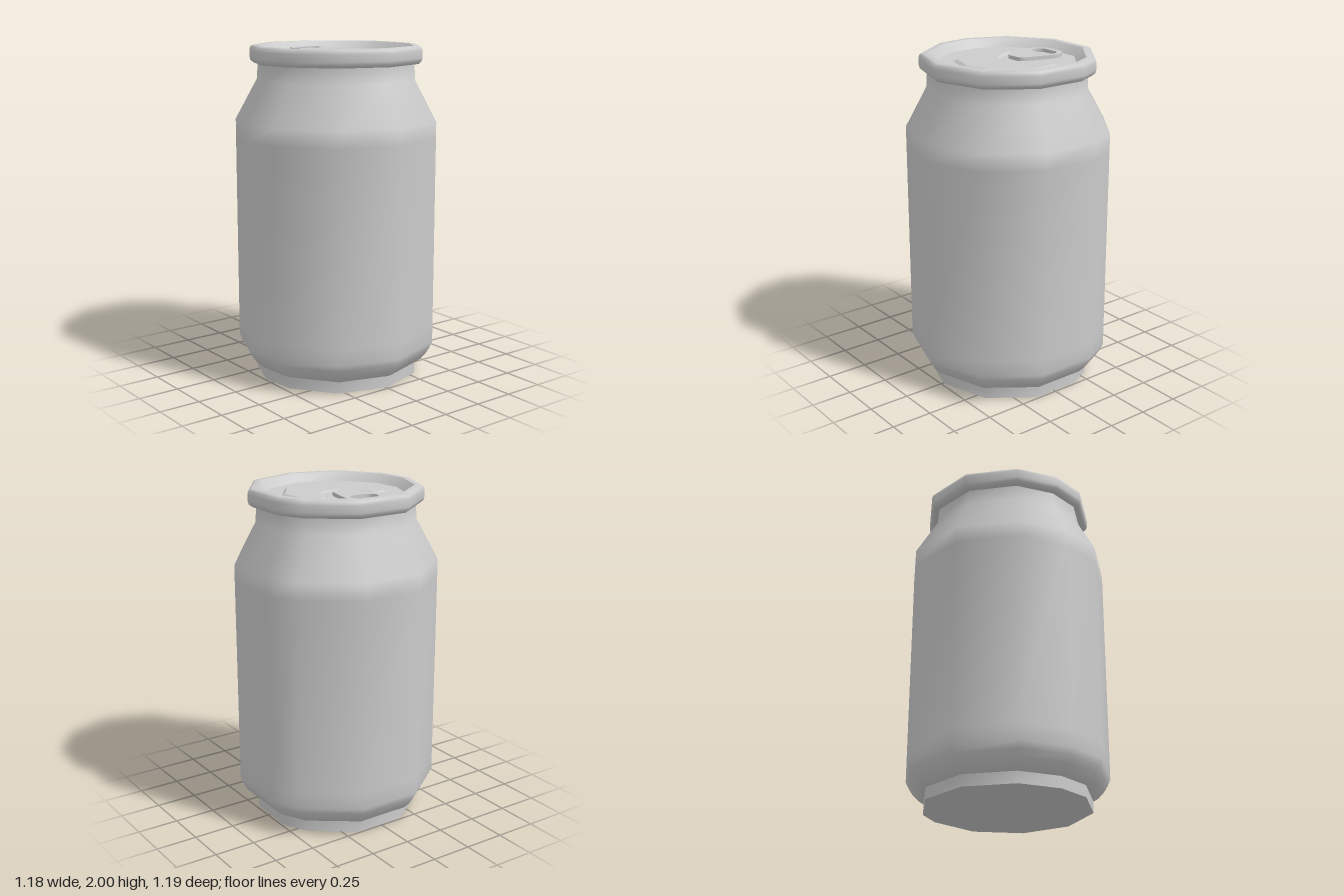
import * as THREE from 'three';

const material = new THREE.MeshStandardMaterial({ color: 0xcccccc });

// Irregular eleven-sided footprint [x, z], from the front vertex round by +x
const outline = [
  [0.01, 0.59], [0.37, 0.475], [0.59, 0.17], [0.59, -0.2], [0.505, -0.375], [0.2, -0.6],
  [-0.175, -0.6], [-0.48, -0.375], [-0.595, -0.09], [-0.57, 0.17], [-0.35, 0.475],
];

// Skin of scaled footprints; profile entries are [scale, y], smooth within one skin
function loft(name, profile) {
  const n = outline.length, positions = [], index = [];
  for (const [s, y] of profile) for (const [x, z] of outline) positions.push(x * s, y, z * s);
  for (let j = 0; j < profile.length - 1; j++) {
    for (let i = 0; i < n; i++) {
      const a = j * n + i, b = j * n + (i + 1) % n;
      index.push(a, b, b + n, a, b + n, a + n);
    }
  }
  const geometry = new THREE.BufferGeometry();
  geometry.setAttribute('position', new THREE.Float32BufferAttribute(positions, 3));
  geometry.setIndex(index);
  geometry.computeVertexNormals();
  const mesh = new THREE.Mesh(geometry, material);
  mesh.name = name;
  return mesh;
}

// Flat plate lying on the lid, drawn with shape y pointing to the back
function plate(name, shape, y, options) {
  const geometry = new THREE.ExtrudeGeometry(shape, options);
  geometry.rotateX(-Math.PI / 2);
  const mesh = new THREE.Mesh(geometry, material);
  mesh.name = name;
  mesh.position.y = y;
  return mesh;
}

export function createModel() {
  const can = new THREE.Group();
  can.name = 'drinkCan';
  const lidY = 1.95;

  // Base, body and neck
  can.add(loft('baseDisc', [[0, 0], [0.82, 0]]));
  can.add(loft('baseRing', [[0.82, 0], [0.82, 0.07]]));
  can.add(loft('body', [
    [0.82, 0.07], [0.87, 0.085], [0.93, 0.125], [0.97, 0.165], [1, 0.205],
    [1, 0.3], [1, 1.46], [1, 1.56], [0.785, 1.8], [0.775, 1.9],
  ]));

  // Rolled rim, sloping inner wall and sunken lid
  can.add(loft('rim', [
    [0.77, 1.895], [0.815, 1.895], [0.845, 1.91], [0.855, 1.93],
    [0.855, 1.97], [0.845, 1.99], [0.82, 2], [0.76, 2],
  ]));
  can.add(loft('rimInnerWall', [[0.76, 2], [0.68, lidY]]));
  can.add(loft('lid', [[0.68, lidY], [0, lidY]]));

  // Raised crescent panel, one half mirrored about its centre line
  const half = [
    [0, -0.3], [0.185, -0.245], [0.305, -0.08], [0.305, 0.07], [0.265, 0.16], [0.195, 0.185],
    [0.155, 0.16], [0.125, 0.09], [0.09, 0.03], [0.05, -0.005], [0, -0.018],
  ];
  const mirrored = half.slice(1, -1).reverse().map(([x, y]) => [-x, y]);
  const crescent = new THREE.Shape([...half, ...mirrored].map(([x, y]) => new THREE.Vector2(x + 0.01, y)));
  can.add(plate('lidPanel', crescent, lidY, {
    depth: 0.001, bevelThickness: 0.012, bevelSize: 0.018, bevelOffset: -0.018, bevelSegments: 1,
  }));

  // Pull tab with a rounded finger hole
  const tab = new THREE.Shape();
  tab.moveTo(-0.025, 0.055);
  tab.lineTo(0.025, 0.055);
  tab.quadraticCurveTo(0.068, 0.055, 0.078, 0.1);
  tab.lineTo(0.118, 0.27);
  tab.bezierCurveTo(0.125, 0.33, 0.085, 0.376, 0.03, 0.376);
  tab.lineTo(-0.03, 0.376);
  tab.bezierCurveTo(-0.085, 0.376, -0.125, 0.33, -0.118, 0.27);
  tab.lineTo(-0.078, 0.1);
  tab.quadraticCurveTo(-0.068, 0.055, -0.025, 0.055);
  const hole = new THREE.Path();
  hole.absarc(-0.037, 0.29, 0.05, Math.PI * 1.5, Math.PI / 2, true);
  hole.absarc(0.037, 0.29, 0.05, Math.PI / 2, -Math.PI / 2, true);
  tab.holes.push(hole);
  can.add(plate('pullTab', tab, lidY, { depth: 0.022, bevelEnabled: false, curveSegments: 8 }));

  return can;
}
